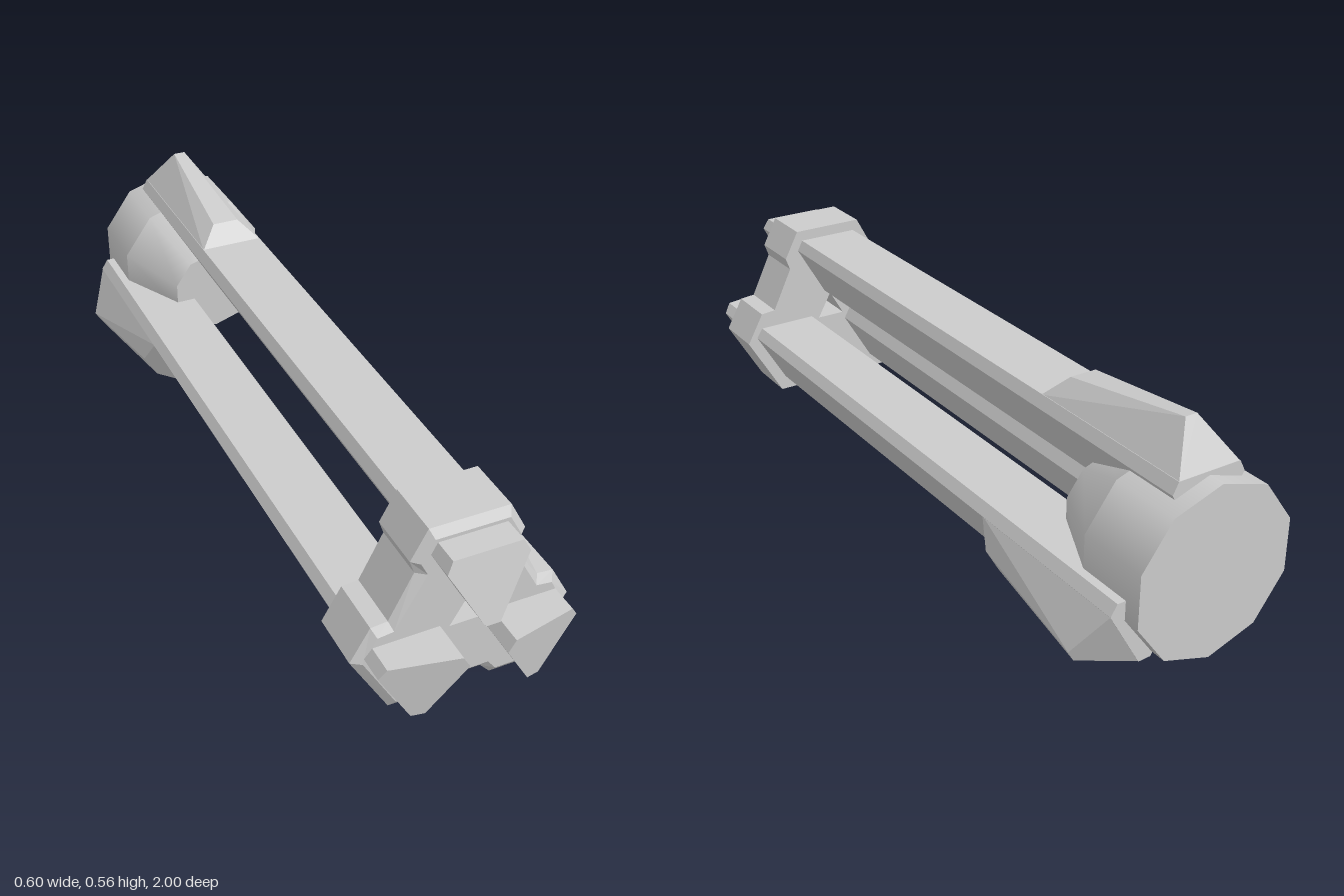
import * as THREE from 'three';
import { ConvexGeometry } from 'three/addons/geometries/ConvexGeometry.js';

const AXIS_Y = 0.235;
const material = new THREE.MeshStandardMaterial({ color: 0xcccccc, flatShading: true });
const smoothMaterial = new THREE.MeshStandardMaterial({ color: 0xcccccc });

function add(parent, name, geometry, mat = material) {
  const mesh = new THREE.Mesh(geometry, mat);
  mesh.name = name;
  parent.add(mesh);
  return mesh;
}

// Completes a right-hand half outline (top to bottom) into a counter-clockwise loop.
function mirrorOutline(half) {
  return [...half.map(([x, y]) => [-x, y]), ...half.slice().reverse()];
}

// Joins matching rings of [x, y, z], back to front; hole rings are optional.
function loft(rings, holes = []) {
  const out = [];
  const tri = (a, b, c) => out.push(...a, ...b, ...c);
  const walls = (list, inward) => {
    for (let r = 0; r < list.length - 1; r++) {
      const n = list[r].length;
      for (let i = 0; i < n; i++) {
        const j = (i + 1) % n;
        const [a, b, c, d] = [list[r][i], list[r][j], list[r + 1][j], list[r + 1][i]];
        if (inward) { tri(a, c, b); tri(a, d, c); } else { tri(a, b, c); tri(a, c, d); }
      }
    }
  };
  const cap = (ring, hole, front) => {
    const flat = (pts) => pts.map((p) => new THREE.Vector2(p[0], p[1]));
    const all = hole ? [...ring, ...hole] : ring;
    for (const [a, b, c] of THREE.ShapeUtils.triangulateShape(flat(ring), hole ? [flat(hole)] : [])) {
      const [p, q, s] = [all[a], all[b], all[c]];
      const ccw = (q[0] - p[0]) * (s[1] - p[1]) - (q[1] - p[1]) * (s[0] - p[0]) > 0;
      if (ccw === front) tri(p, q, s); else tri(p, s, q);
    }
  };
  walls(rings, false);
  walls(holes, true);
  cap(rings[0], holes[0], false);
  cap(rings[rings.length - 1], holes[holes.length - 1], true);
  const geometry = new THREE.BufferGeometry();
  geometry.setAttribute('position', new THREE.Float32BufferAttribute(out, 3));
  geometry.computeVertexNormals();
  return geometry;
}

const atZ = (loop, z) => loop.map(([x, y]) => [x, y, z]);

// Long six-sided spar with a raked nose; y is the distance from the axis.
function sparGeometry() {
  const outer = 0.23, inner = 0.057;
  const loop = mirrorOutline([[0.085, outer], [0.1, 0.201], [0.018, inner]]);
  const nose = loop.map(([x, y]) => [x, y, 1 - 0.042 * (y - inner) / (outer - inner)]);
  return loft([atZ(loop, -0.957), nose]);
}

// Faceted fin rising towards the tail.
function finGeometry() {
  const points = [];
  for (const s of [-1, 1]) {
    points.push(
      new THREE.Vector3(s * 0.085, 0.228, -0.472),
      new THREE.Vector3(s * 0.085, 0.228, -0.957),
      new THREE.Vector3(s * 0.036, 0.279, -0.517),
      new THREE.Vector3(s * 0.016, 0.332, -0.887)
    );
  }
  return new ConvexGeometry(points);
}

// Three-lobed collar with a bevelled front and a triangular bore.
function collarGeometry() {
  const rim = mirrorOutline([
    [0.1, 0.495], [0.141, 0.418], [0.129, 0.384], [0.187, 0.266], [0.229, 0.262],
    [0.277, 0.176], [0.177, 0.002], [0.086, 0.002], [0.059, 0.032]
  ]);
  const face = mirrorOutline([
    [0.091, 0.474], [0.122, 0.417], [0.104, 0.382], [0.179, 0.246], [0.219, 0.241],
    [0.252, 0.176], [0.166, 0.025], [0.091, 0.025], [0.07, 0.053]
  ]);
  const bore = [[0, 0.281], [-0.041, 0.208], [0.041, 0.208]];
  return loft(
    [atZ(rim, 0.733), atZ(rim, 0.877), atZ(face, 0.893)],
    [atZ(bore, 0.733), atZ(bore, 0.893)]
  );
}

export function createModel() {
  const model = new THREE.Group();
  model.name = 'triple spar body';

  // Three spars with tail fins around the long axis
  const spar = sparGeometry();
  const fin = finGeometry();
  ['topArm', 'rightArm', 'leftArm'].forEach((name, i) => {
    const arm = new THREE.Group();
    arm.name = name;
    const angle = (i * Math.PI * 2) / 3;
    const shift = i === 0 ? 0 : 0.008;
    arm.rotation.z = angle;
    arm.position.set(-Math.sin(angle) * shift, AXIS_Y + Math.cos(angle) * shift, 0);
    add(arm, 'spar', spar);
    add(arm, 'fin', fin);
    model.add(arm);
  });

  add(model, 'frontCollar', collarGeometry());

  // Ten-sided tail drum and its tapering shoulder
  const drum = new THREE.CylinderGeometry(0.22, 0.22, 0.19, 10).rotateX(Math.PI / 2);
  add(model, 'tailDrum', drum, smoothMaterial).position.set(0, AXIS_Y, -0.905);
  const shoulder = new THREE.CylinderGeometry(0.124, 0.22, 0.185, 10).rotateX(Math.PI / 2);
  add(model, 'tailShoulder', shoulder, smoothMaterial).position.set(0, AXIS_Y, -0.7175);

  return model;
}
